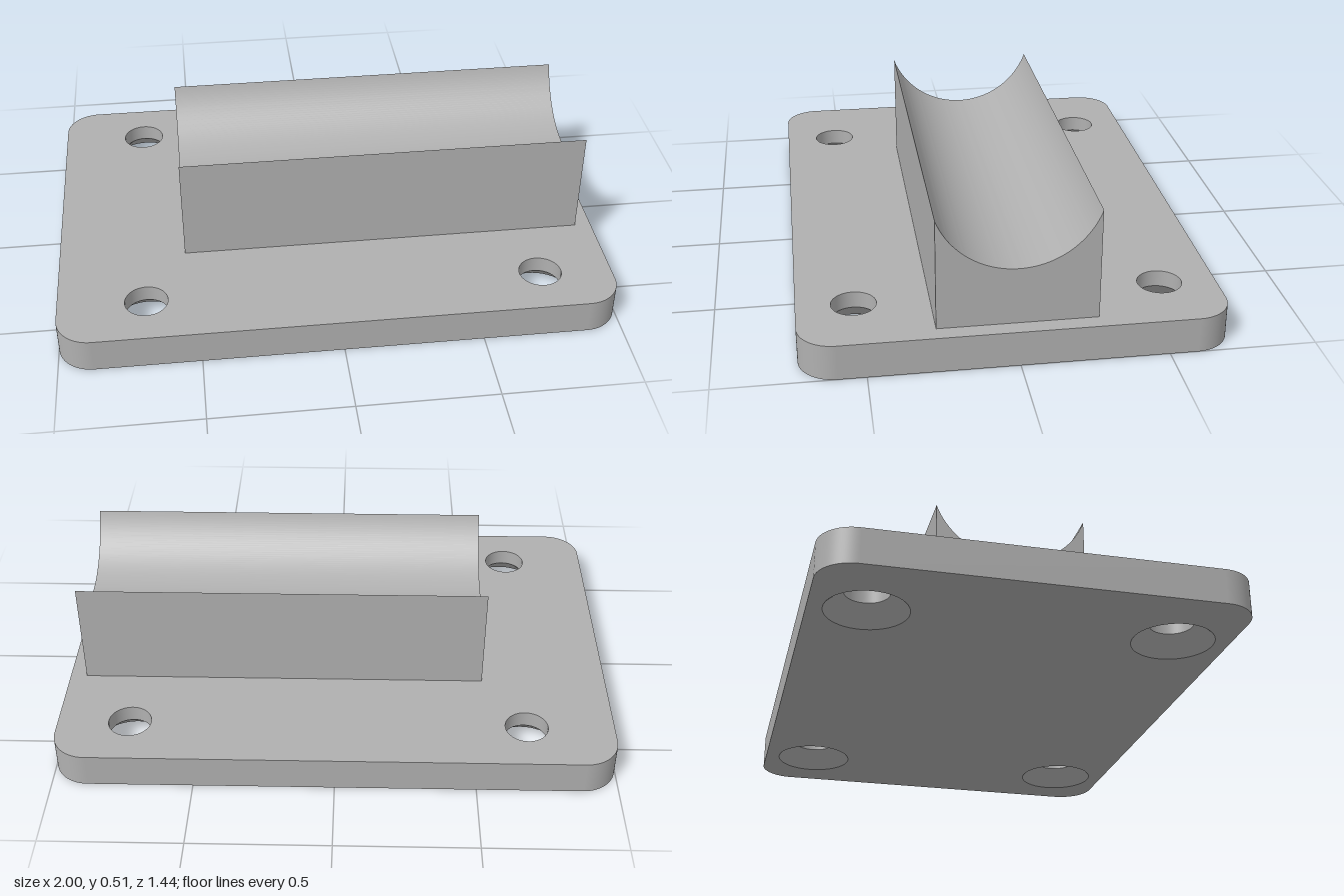
import * as THREE from 'three';
import { toCreasedNormals } from 'three/addons/utils/BufferGeometryUtils.js';

const W = 1, D = 0.72, H = 0.125, CORNER = 0.125; // plate half sizes, thickness, corner radius
const HOLE = 0.077, SINK = 0.143, SINK_DEPTH = 0.066;
const HOLES = [-0.685, 0.74].flatMap(x => [-0.525, 0.525].map(z => [x, z]));

// Rounded rectangle, optionally pierced by the four screw holes
function plateShape(holeRadius) {
  const s = new THREE.Shape();
  const a = W - CORNER, b = D - CORNER, q = Math.PI / 2;
  s.absarc(a, b, CORNER, 0, q);
  s.absarc(-a, b, CORNER, q, 2 * q);
  s.absarc(-a, -b, CORNER, 2 * q, 3 * q);
  s.absarc(a, -b, CORNER, 3 * q, 4 * q);
  s.closePath();
  if (holeRadius) {
    for (const [x, z] of HOLES) {
      s.holes.push(new THREE.Path().absarc(x, z, holeRadius, 0, Math.PI * 2, true));
    }
  }
  return s;
}

// Vertical band around the plate outline
function rimGeometry() {
  const pts = plateShape(0).getPoints(16)
    .filter((p, i, all) => p.distanceTo(all[(i + 1) % all.length]) > 1e-5);
  const pos = [], index = [];
  pts.forEach((p, i) => {
    pos.push(p.x, 0, -p.y, p.x, H, -p.y);
    const a = 2 * i, b = 2 * ((i + 1) % pts.length);
    index.push(a, b, b + 1, a, b + 1, a + 1);
  });
  const g = new THREE.BufferGeometry();
  g.setAttribute('position', new THREE.Float32BufferAttribute(pos, 3));
  g.setIndex(index);
  g.computeVertexNormals();
  return g;
}

export function createModel() {
  const model = new THREE.Group();
  model.name = 'saddleBracket';
  const grey = new THREE.MeshStandardMaterial({ color: 0xb0b0b0 });
  grey.name = 'grey';

  const add = (parent, name, geometry) => {
    const mesh = new THREE.Mesh(geometry, grey);
    mesh.name = name;
    parent.add(mesh);
    return mesh;
  };

  // Base plate: narrow holes on top, wide countersinks underneath
  const plate = new THREE.Group();
  plate.name = 'basePlate';
  model.add(plate);
  add(plate, 'plateTop', new THREE.ShapeGeometry(plateShape(HOLE), 24)
    .rotateX(-Math.PI / 2).translate(0, H, 0));
  add(plate, 'plateBottom', new THREE.ShapeGeometry(plateShape(SINK), 24).rotateX(Math.PI / 2));
  add(plate, 'plateRim', rimGeometry());

  // Hole walls, profiles run downward so they face the axis
  const lathe = (...p) => new THREE.LatheGeometry(p.map(([r, y]) => new THREE.Vector2(r, y)), 48);
  const bore = lathe([HOLE, H], [HOLE, SINK_DEPTH]);
  const sink = lathe([HOLE, SINK_DEPTH], [SINK, 0]);
  for (const [x, z] of HOLES) {
    add(plate, 'screwBore', bore).position.set(x, 0, z);
    add(plate, 'countersink', sink).position.set(x, 0, z);
  }

  // Saddle block with a circular trough along x
  const half = 0.27, top = 0.515, low = 0.325, x0 = -0.54, x1 = 0.94;
  const sag = top - low;
  const r = (half * half + sag * sag) / (2 * sag);
  const edge = Math.asin(half / r);
  const s = new THREE.Shape();
  s.moveTo(-half, H);
  s.lineTo(half, H);
  s.lineTo(half, top);
  s.absarc(0, low + r, r, -Math.PI / 2 + edge, -Math.PI / 2 - edge, true);
  s.closePath();
  const block = new THREE.ExtrudeGeometry(s, { depth: x1 - x0, bevelEnabled: false, curveSegments: 40 });
  block.rotateY(Math.PI / 2).translate(x0, 0, 0);
  add(model, 'saddle', toCreasedNormals(block, 0.5));

  return model;
}
